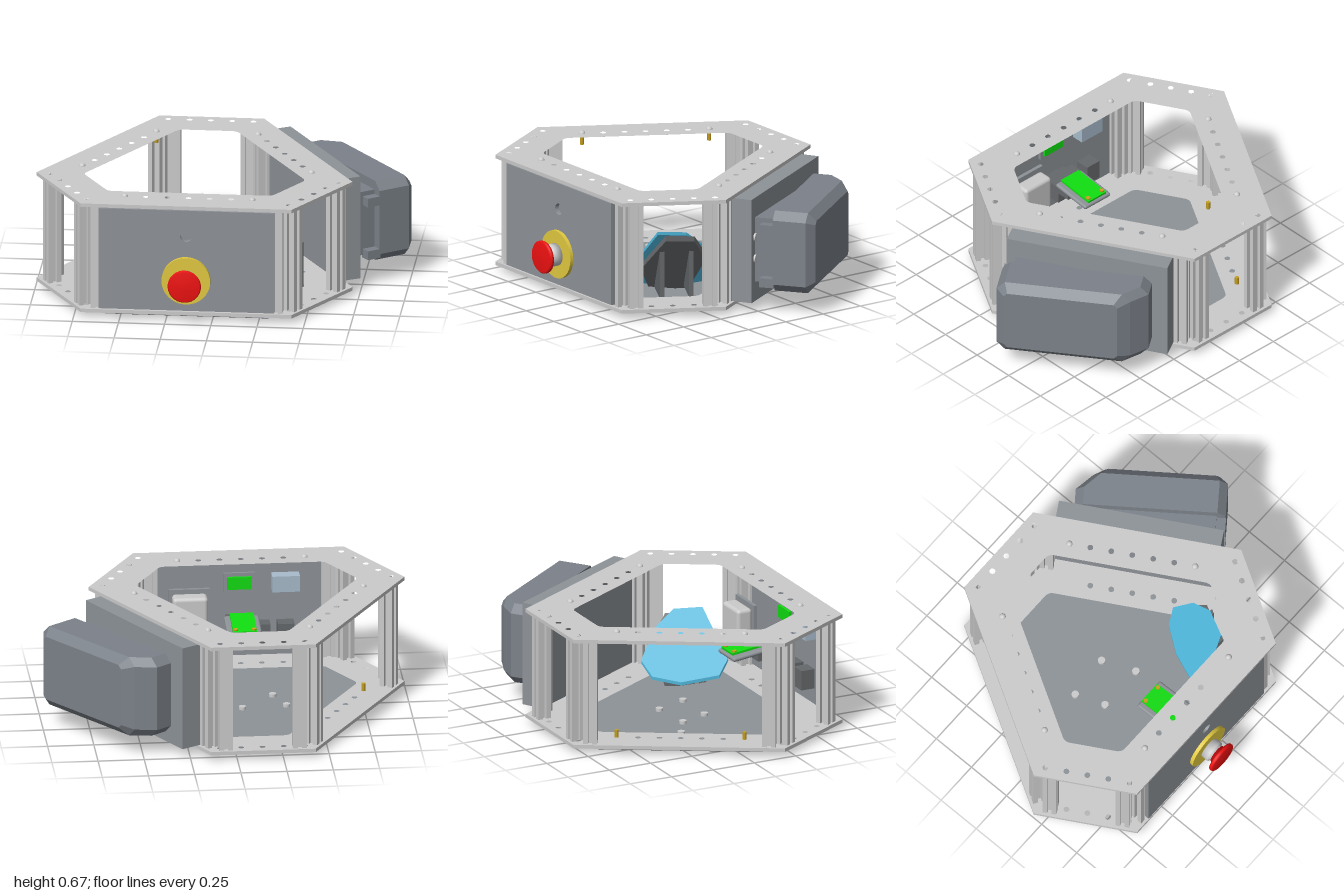
import * as THREE from 'three';
import { RoundedBoxGeometry } from 'three/addons/geometries/RoundedBoxGeometry.js';
import { ConvexGeometry } from 'three/addons/geometries/ConvexGeometry.js';

const mat = (color) => new THREE.MeshStandardMaterial({ color });
const M = {
  frame: mat(0xcccccc), panel: mat(0x8e9398), dark: mat(0x66696c), device: mat(0x7c828a),
  red: mat(0xee1111), yellow: mat(0xe0c840), green: mat(0x11dd11), blue: mat(0x50b8dc),
  brass: mat(0xc8a020), pale: mat(0xa8bccc),
};

function add(parent, name, geometry, material, x = 0, y = 0, z = 0) {
  const mesh = new THREE.Mesh(geometry, material);
  mesh.name = name;
  mesh.position.set(x, y, z);
  parent.add(mesh);
  return mesh;
}
const box = (w, h, d) => new THREE.BoxGeometry(w, h, d);
const cyl = (r, h, n = 24) => new THREE.CylinderGeometry(r, r, h, n);

// Closed outline through [x, z] points, corners optionally rounded
function outline(pts, r = 0, Type = THREE.Shape) {
  const s = new Type();
  const v = pts.map((p) => new THREE.Vector2(...p));
  v.forEach((p, i) => {
    const a = v[(i + v.length - 1) % v.length], b = v[(i + 1) % v.length];
    const p0 = p.clone().add(a.clone().sub(p).setLength(r));
    const p1 = p.clone().add(b.clone().sub(p).setLength(r));
    if (i === 0) s.moveTo(p0.x, p0.y); else s.lineTo(p0.x, p0.y);
    if (r) s.quadraticCurveTo(p.x, p.y, p1.x, p1.y);
  });
  s.closePath();
  return s;
}
function circle(x, y, r) {
  const p = new THREE.Path();
  p.absarc(x, y, r, 0, Math.PI * 2, true);
  return p;
}
// Horizontal slab: outline lies in x/z, top at y = 0
function slab(shape, depth, opts = {}) {
  return new THREE.ExtrudeGeometry(shape, { depth, bevelEnabled: false, curveSegments: 6, ...opts }).rotateX(Math.PI / 2);
}
const spin = ([x, z], k) => {
  const t = (k * Math.PI * 2) / 3, c = Math.cos(t), s = Math.sin(t);
  return [x * c + z * s, z * c - x * s];
};
// Three-sided hexagon with long sides at distance l and short sides at distance s
function hex(l, s) {
  const h = (s - l / 2) / (Math.sqrt(3) / 2);
  return [0, 1, 2].flatMap((k) => [spin([-h, l], k), spin([h, l], k)]);
}

// Slotted aluminium bar section
function barGeometry(height) {
  const h = 0.0375, w = 0.011, d = 0.02;
  const pts = [];
  for (let k = 0; k < 4; k++) {
    const c = Math.round(Math.cos(k * Math.PI / 2)), s = Math.round(Math.sin(k * Math.PI / 2));
    for (const [x, y] of [[-h, -h], [-w, -h], [-w, -h + d], [w, -h + d], [w, -h]]) pts.push([x * c - y * s, x * s + y * c]);
  }
  return slab(outline(pts), height);
}

function buildFrame(root) {
  const ring = outline(hex(0.657, 0.823));
  ring.holes.push(outline(hex(0.437, 0.603), 0.03, THREE.Path));
  for (let k = 0; k < 3; k++) {
    for (let i = -2; i <= 2; i++) {
      ring.holes.push(circle(...spin([i * 0.115, 0.517], k), 0.016));
      ring.holes.push(circle(...spin([i * 0.115, -0.768], k), 0.016));
    }
  }
  const ringGeo = slab(ring, 0.02);
  add(root, 'topPlate', ringGeo, M.frame, 0, 0.65);
  add(root, 'bottomPlate', ringGeo, M.frame, 0, 0.05);

  const bar = barGeometry(0.58);
  const dome = new THREE.SphereGeometry(0.018, 16, 8, 0, Math.PI * 2, 0, Math.PI / 2);
  for (let k = 0; k < 3; k++) {
    const side = new THREE.Group();
    side.name = 'frameSide';
    side.rotation.y = (k * Math.PI * 2) / 3;
    root.add(side);
    for (const s of [-1, 1]) {
      add(side, 'longSidePost', bar, M.frame, s * 0.482, 0.63, 0.604);
      add(side, 'shortSidePost', bar, M.frame, s * 0.2, 0.63, -0.77);
      add(side, 'domeScrew', dome, M.frame, s * 0.345, 0.648, 0.517);
      if (k === 2) for (const y of [0.07, 0.61]) add(side, 'brassStandoff', cyl(0.012, 0.045, 6), M.brass, s * 0.345, y, 0.517);
    }
  }

  // Floor cover with three shallow pockets on its underside
  add(root, 'floorCover', slab(outline(hex(0.597, 0.683)), 0.017), M.panel, 0, 0.031);
  const under = outline(hex(0.58, 0.666));
  const pocket = [[-0.37, 0.49], [0.37, 0.49], [0.37, 0.44], [0.09, 0.17], [-0.09, 0.17], [-0.37, 0.44]];
  for (let k = 0; k < 3; k++) under.holes.push(outline(pocket.map((p) => spin(p, k)), 0.025, THREE.Path));
  add(root, 'pocketedUnderside', slab(under, 0.004, { bevelEnabled: true, bevelThickness: 0.006, bevelSize: 0.014, bevelSegments: 1 }), M.panel, 0, 0.01);
  for (let k = 0; k < 3; k++) {
    const [x, z] = spin([0, 0.27], k);
    add(root, 'undersideScrew', cyl(0.018, 0.012), M.frame, x, 0.01, z);
  }
  for (const [x, z] of [[0.05, -0.133], [-0.13, 0.047], [0.124, 0.047], [-0.19, -0.113], [-0.34, -0.2]]) {
    add(root, 'floorScrew', cyl(0.02, 0.02), M.frame, x, 0.038, z);
  }
}

function buildFrontPanel(root) {
  const s = outline([[-0.475, 0.055], [0.475, 0.055], [0.475, 0.625], [-0.475, 0.625]]);
  s.holes.push(circle(0, 0.48, 0.032));
  add(root, 'frontPanel', new THREE.ExtrudeGeometry(s, { depth: 0.025, bevelEnabled: false }), M.panel, 0, 0, 0.63);

  const stop = new THREE.Group();
  stop.name = 'stopButton';
  stop.position.set(0, 0.23, 0.655);
  stop.rotation.x = Math.PI / 2;
  root.add(stop);
  const lathe = (pts) => new THREE.LatheGeometry(pts.map((p) => new THREE.Vector2(...p)), 40);
  add(stop, 'yellowDisc', cyl(0.132, 0.02, 40), M.yellow, 0, 0.01);
  add(stop, 'collar', lathe([[0, 0], [0.062, 0.018], [0.062, 0.06], [0.05, 0.062], [0.048, 0.085], [0, 0.085]]), M.frame);
  add(stop, 'redCap', lathe([[0, 0.075], [0.052, 0.075], [0.055, 0.095], [0.088, 0.097], [0.09, 0.103], [0.09, 0.112], [0.082, 0.12], [0, 0.122]]), M.red);
  add(stop, 'contactBlock', box(0.11, 0.13, 0.1), M.dark, 0, -0.09);
}

function buildElectronics(root) {
  // Parts hung on the inside of the front panel
  add(root, 'greyModule', new RoundedBoxGeometry(0.19, 0.2, 0.09, 3, 0.02), M.frame, 0.28, 0.37, 0.455);
  add(root, 'moduleFoot', box(0.08, 0.11, 0.035), M.frame, 0.28, 0.215, 0.467);
  add(root, 'moduleBracket', box(0.22, 0.26, 0.02), M.panel, 0.28, 0.36, 0.51);
  add(root, 'lampBoard', box(0.13, 0.07, 0.015), M.green, 0, 0.48, 0.6);
  add(root, 'lampBoardHolder', box(0.17, 0.11, 0.015), M.panel, 0, 0.48, 0.616);
  add(root, 'paleModule', box(0.15, 0.09, 0.07), M.pale, -0.25, 0.48, 0.595);
  for (const x of [-0.12, -0.25]) add(root, 'connector', box(0.09, 0.11, 0.08), M.dark, x, 0.2, 0.59);

  const board = new THREE.Group();
  board.name = 'controlBoard';
  board.position.set(0, 0.335, 0.36);
  board.rotation.x = -0.12;
  root.add(board);
  add(board, 'boardTray', new RoundedBoxGeometry(0.19, 0.025, 0.24, 2, 0.012), M.panel, 0, -0.02);
  add(board, 'greenBoard', box(0.13, 0.012, 0.22), M.green, 0, 0.004);
  for (const x of [-0.05, 0.05]) add(board, 'boardScrew', cyl(0.012, 0.02, 16), M.brass, x, 0.008, -0.09);
  add(root, 'traySupport', box(0.15, 0.04, 0.2), M.dark, 0, 0.285, 0.5);
}

function buildSlopedBoard(model) {
  // Flat outline sheared onto the sloping plane
  const sheared = (pts, depth) => {
    const g = slab(outline(pts), depth), p = g.attributes.position;
    for (let i = 0; i < p.count; i++) p.setY(i, p.getY(i) - 0.36 + 1.42 * p.getX(i) + 0.785 * p.getZ(i));
    g.computeVertexNormals();
    return g;
  };
  const pts = [[0.29, 0.04], [0.36, 0.01], [0.41, 0.11], [0.41, 0.23], [0.34, 0.37], [0.14, 0.42], [0.12, 0.36], [0.2, 0.17]];
  add(model, 'slopedBoard', sheared(pts, 0.018), M.blue);
  add(model, 'slopedBoardBacking', sheared([[0.25, 0.1], [0.4, 0.09], [0.43, 0.19], [0.36, 0.33], [0.2, 0.38], [0.16, 0.3]], 0.03), M.dark, 0, -0.022);
  // Triangular bracket that carries the board
  const rib = new THREE.ExtrudeGeometry(outline([[-0.1, 0], [0.12, 0], [0.12, 0.26]]), { depth: 0.025, bevelEnabled: false });
  for (const t of [-0.09, 0.07]) {
    const mesh = add(model, 'bracketRib', rib, M.dark, 0.3 - t * 0.5, 0.045, 0.23 + t * 0.86);
    mesh.rotation.y = -0.5;
  }
}

function buildSideDevice(root, model) {
  const side = new THREE.Group();
  side.name = 'sidePanel';
  side.rotation.y = (Math.PI * 2) / 3;
  root.add(side);
  add(side, 'sidePanelBody', box(0.905, 0.58, 0.125), M.panel, -0.005, 0.34, 0.694);
  for (const y of [0.29, 0.41]) add(side, 'panelScrew', cyl(0.022, 0.02).rotateX(Math.PI / 2), M.frame, -0.41, y, 0.757);

  // Chamfered housing, turned slightly away from the side panel
  const device = new THREE.Group();
  device.name = 'sideDevice';
  device.rotation.y = Math.atan2(0.8, -0.6);
  model.add(device);
  const pts = [];
  const loop = (x0, x1, y0, y1, z, c) => {
    for (const [x, sx] of [[x0, 1], [x1, -1]]) {
      for (const [y, sy] of [[y0, 1], [y1, -1]]) {
        pts.push(new THREE.Vector3(x + sx * c, y, z), new THREE.Vector3(x, y + sy * c, z));
      }
    }
  };
  loop(-0.48, 0.337, 0.12, 0.57, 0.69, 0.045);
  loop(-0.48, 0.337, 0.12, 0.57, 0.79, 0.045);
  loop(-0.48, 0.25, 0.12, 0.57, 0.875, 0.045);
  loop(-0.435, 0.188, 0.165, 0.525, 0.918, 0.02);
  add(device, 'deviceHousing', new ConvexGeometry(pts), M.device);
  add(device, 'deviceBase', box(0.72, 0.36, 0.14), M.device, -0.07, 0.34, 0.63);
  for (const y of [0.17, 0.47]) add(device, 'mountClip', box(0.06, 0.05, 0.08), M.device, -0.452, y, 0.655);
}

export function createModel() {
  const model = new THREE.Group();
  model.name = 'sensorBase';
  const root = new THREE.Group();
  root.name = 'chassis';
  root.position.set(-0.14, 0, 0.023);
  model.add(root);
  buildFrame(root);
  buildFrontPanel(root);
  buildElectronics(root);
  buildSlopedBoard(model);
  buildSideDevice(root, model);
  return model;
}
